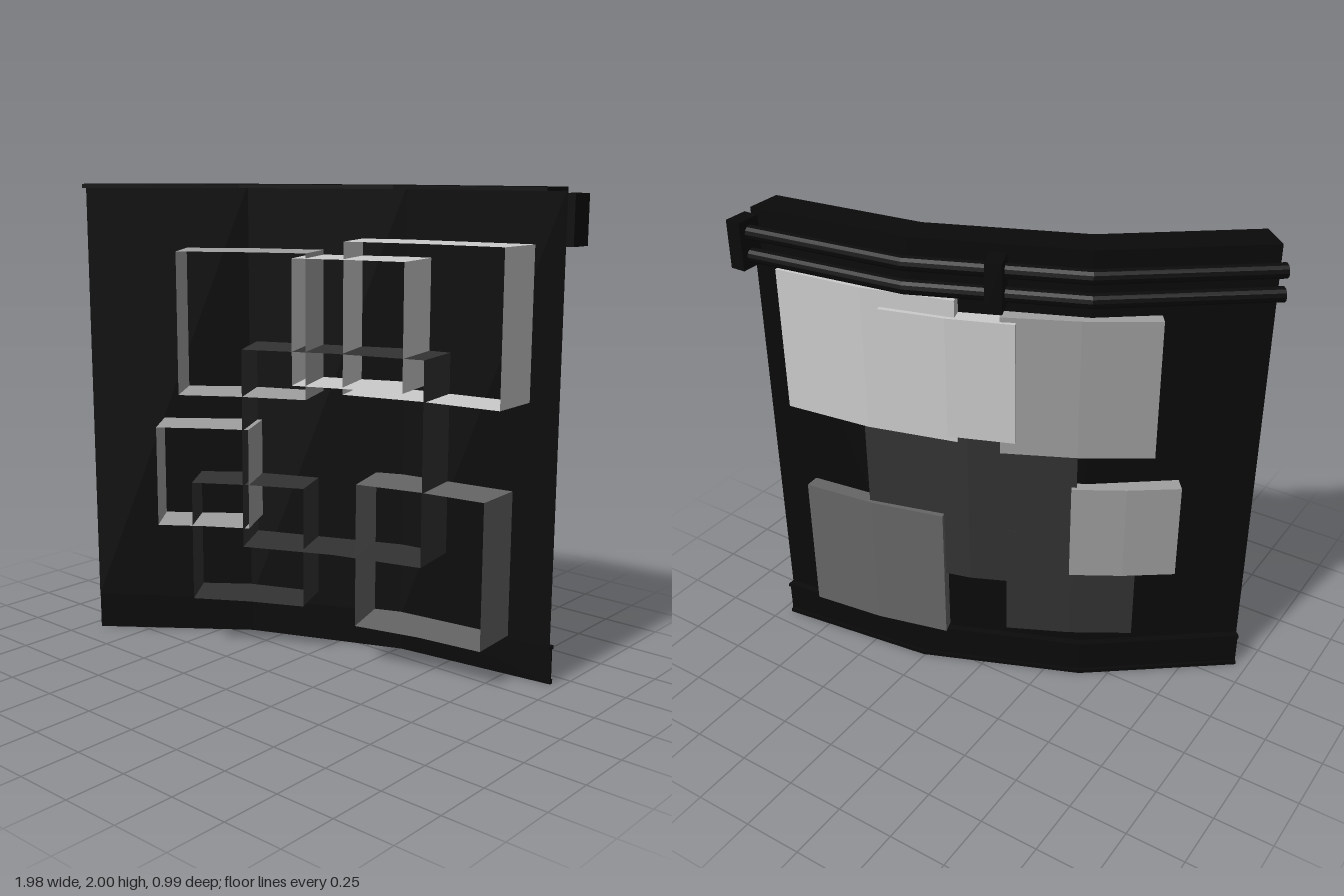
import * as THREE from 'three';

// Arc the whole wall follows: angle 0 at the left end, 45 degrees at the right end
const CX = 0.955, CZ = 2.266, R = 2.666, SPAN = 45;
const rad = THREE.MathUtils.degToRad;

const onArc = (deg, r, y) => new THREE.Vector3(
  CX - r * Math.sin(rad(deg)), y, CZ - r * Math.cos(rad(deg)));

const paint = (name, color) => {
  const m = new THREE.MeshStandardMaterial({ color, side: THREE.DoubleSide });
  m.name = name;
  return m;
};

// Sweeps a clockwise [radius, height] profile along the arc in flat segments
function sweep(profile, from, to, segments, { closed = true, caps = true } = {}) {
  const pos = [];
  const tri = (...pts) => pts.forEach((p) => pos.push(p.x, p.y, p.z));
  const rings = [];
  for (let s = 0; s <= segments; s++) {
    const a = from + ((to - from) * s) / segments;
    rings.push(profile.map(([r, y]) => onArc(a, r, y)));
  }
  const n = profile.length;
  for (let s = 0; s < segments; s++) {
    const A = rings[s], B = rings[s + 1];
    for (let i = 0; i < (closed ? n : n - 1); i++) {
      const j = (i + 1) % n;
      tri(A[i], A[j], B[j]);
      tri(A[i], B[j], B[i]);
    }
  }
  if (caps) {
    const A = rings[0], B = rings[segments];
    for (let i = 1; i < n - 1; i++) {
      tri(A[0], A[i + 1], A[i]);
      tri(B[0], B[i], B[i + 1]);
    }
  }
  const g = new THREE.BufferGeometry();
  g.setAttribute('position', new THREE.Float32BufferAttribute(pos, 3));
  g.computeVertexNormals();
  return g;
}

const rect = (r0, r1, y0, y1) => [[r0, y1], [r1, y1], [r1, y0], [r0, y0]];

export function createModel() {
  const model = new THREE.Group();
  model.name = 'curvedDisplayWall';
  const black = paint('black', 0x0a0a0a);
  const pale = paint('paleGrey', 0xcccccc);
  const light = paint('lightGrey', 0xa0a0a0);
  const mid = paint('midGrey', 0x666666);
  const dark = paint('darkGrey', 0x333333);

  const add = (name, geometry, material) => {
    const mesh = new THREE.Mesh(geometry, material);
    mesh.name = name;
    model.add(mesh);
    return mesh;
  };

  // Wall sheet and the ledge along its top
  add('wall', sweep([[R, 2], [R, 0.16]], 0, SPAN, 3, { closed: false, caps: false }), black);
  add('topLedge', sweep(rect(2.516, R, 1.985, 2), 0, SPAN, 3), black);

  // Skirting with a lip at top and bottom
  add('skirting', sweep(rect(2.68, 2.687, 0, 0.16), 0, SPAN, 3), black);
  add('skirtingTopLip', sweep(rect(R, 2.697, 0.15, 0.165), 0, SPAN, 3), black);
  add('skirtingBottomLip', sweep(rect(2.68, 2.697, 0, 0.018), 0, SPAN, 3), black);

  // Two pipes behind the top of the wall
  for (const [name, y] of [['upperPipe', 1.92], ['lowerPipe', 1.825]]) {
    const circle = Array.from({ length: 12 }, (_, i) => {
      const t = (-i / 12) * Math.PI * 2;
      return [2.72 + 0.03 * Math.cos(t), y + 0.03 * Math.sin(t)];
    });
    add(name, sweep(circle, 0, SPAN, 3), black);
  }

  // Brackets that carry the pipes
  for (const [name, deg] of [['endBracket', 0], ['middleBracket', 22.5]]) {
    const bracket = add(name, new THREE.BoxGeometry(0.066, 0.2, 0.105), black);
    bracket.position.copy(onArc(deg, 2.7185, 1.875));
    bracket.rotation.y = rad(deg);
  }

  // Bent trays pushed through the wall: closed behind, open in front
  const trays = [
    // name, angles, heights, front radius, back radius, colour
    ['upperRightTray', 22.7, 35.75, 1.13, 1.73, 2.41, 2.7, light],
    ['upperMiddleTray', 12.5, 24, 1.19, 1.71, 2.395, 2.715, pale],
    ['upperLeftTray', 2.7, 19, 1.16, 1.78, 2.425, 2.7, pale],
    ['centreTray', 10.4, 29.25, 0.48, 1.33, 2.405, 2.694, dark],
    ['sideTray', 28.8, 38.2, 0.555, 0.985, 2.43, 2.71, light],
    ['lowerRightTray', 23.15, 34.7, 0.225, 0.745, 2.435, 2.688, dark],
    ['lowerLeftTray', 4, 17.5, 0.175, 0.79, 2.42, 2.71, mid],
  ];
  for (const [name, a0, a1, y0, y1, front, back, colour] of trays)
    add(name, sweep(rect(front, back, y0, y1), a0, a1, 2, { closed: false }), colour);

  return model;
}
